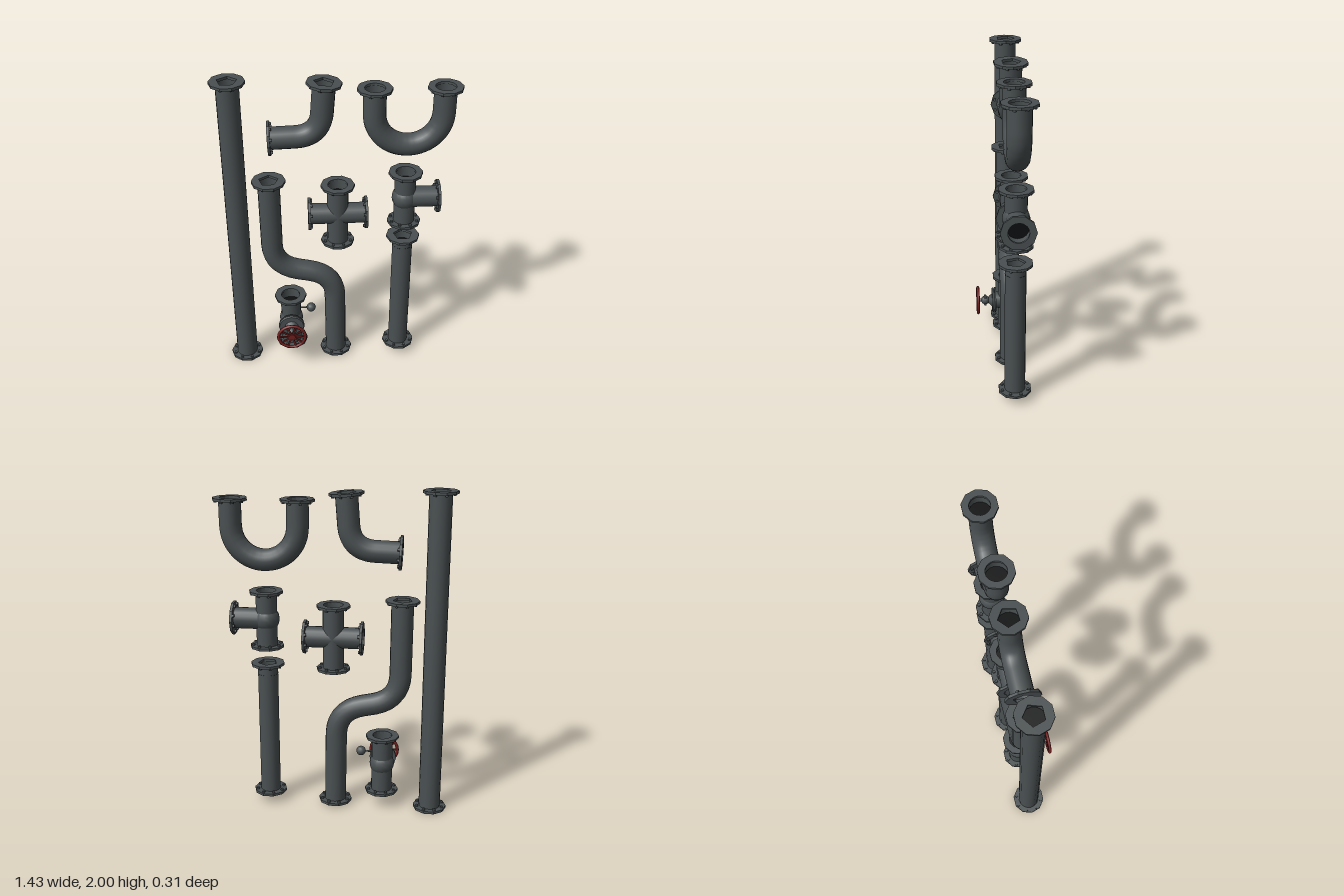
import * as THREE from 'three';

const Z = -0.053; // common depth of all pipe centre lines
const iron = new THREE.MeshStandardMaterial({ color: 0x4a5052, side: THREE.DoubleSide });
iron.name = 'dark iron';
const bore = new THREE.MeshStandardMaterial({ color: 0x0e0f10 });
bore.name = 'bore black';
const red = new THREE.MeshStandardMaterial({ color: 0x74201f });
red.name = 'wheel red';
const steel = new THREE.MeshStandardMaterial({ color: 0x6a6f70 });
steel.name = 'stem steel';

const V = (x, y, z = 0) => new THREE.Vector3(x, y, z);

function add(parent, name, geometry, material, x = 0, y = 0, z = 0) {
  const mesh = new THREE.Mesh(geometry, material);
  mesh.name = name;
  mesh.position.set(x, y, z);
  parent.add(mesh);
  return mesh;
}

function makeGroup(parent, name) {
  const g = new THREE.Group();
  g.name = name;
  g.position.z = Z;
  parent.add(g);
  return g;
}

// Cylinder whose axis runs along z
const zCylinder = (r0, r1, length, sides) =>
  new THREE.CylinderGeometry(r1, r0, length, sides).rotateX(Math.PI / 2);

function polygon(target, radius, sides, turn = 0) {
  const pts = [];
  for (let i = 0; i < sides; i++) {
    const a = turn + (i / sides) * Math.PI * 2;
    pts.push(new THREE.Vector2(Math.cos(a) * radius, Math.sin(a) * radius));
  }
  return target.setFromPoints(pts);
}

// Bolted ring; its outer face sits at pos and looks along dir
function flange(parent, pos, dir, holeSides = 16) {
  const g = new THREE.Group();
  g.name = 'flange';
  g.position.copy(pos);
  g.quaternion.setFromUnitVectors(V(0, 0, 1), dir);
  const shape = polygon(new THREE.Shape(), 0.103, 10);
  shape.holes.push(polygon(new THREE.Path(), 0.06, holeSides, 0.3));
  const ring = new THREE.ExtrudeGeometry(shape, { depth: 0.016, bevelEnabled: false });
  add(g, 'flangeRing', ring, iron, 0, 0, -0.016);
  for (let i = 0; i < 8; i++) {
    const a = ((i + 0.5) / 8) * Math.PI * 2;
    add(g, 'bolt', zCylinder(0.01, 0.01, 0.011, 6), iron, Math.cos(a) * 0.084, Math.sin(a) * 0.084, -0.0205);
  }
  add(g, 'boreShadow', new THREE.CircleGeometry(0.064, 16), bore, 0, 0, -0.07);
  parent.add(g);
}

// Pipe along a polyline whose inner corners are rounded; a flange closes each end
function pipe(parent, name, points, cut = 0.15, radius = 0.067, holeSides = 5, segments = 40) {
  const g = makeGroup(parent, name);
  const path = new THREE.CurvePath();
  let from = points[0];
  for (let i = 1; i < points.length - 1; i++) {
    const p = points[i];
    const a = p.clone().add(points[i - 1].clone().sub(p).setLength(cut));
    const b = p.clone().add(points[i + 1].clone().sub(p).setLength(cut));
    path.add(new THREE.LineCurve3(from, a));
    path.add(new THREE.QuadraticBezierCurve3(a, p, b));
    from = b;
  }
  const end = points[points.length - 1];
  path.add(new THREE.LineCurve3(from, end));
  add(g, 'pipeWall', new THREE.TubeGeometry(path, points.length > 2 ? segments : 1, radius, 16), iron);
  flange(g, points[0], points[0].clone().sub(points[1]).normalize(), holeSides);
  flange(g, end, end.clone().sub(points[points.length - 2]).normalize(), holeSides);
  return g;
}

// Open stub from a centre to a flanged end
function stub(parent, center, dir, length, radius = 0.065) {
  const wall = new THREE.CylinderGeometry(radius, radius, length, 16, 1, true);
  const mesh = add(parent, 'stub', wall, iron);
  mesh.position.copy(center).addScaledVector(dir, length / 2);
  mesh.quaternion.setFromUnitVectors(V(0, 1), dir);
  flange(parent, center.clone().addScaledVector(dir, length), dir);
}

function valve(parent) {
  const g = makeGroup(parent, 'gateValve');
  const c = V(-0.307, 0.29);
  stub(g, c, V(0, 1), 0.19);
  stub(g, c, V(0, -1), 0.19);
  add(g, 'valveBody', new THREE.SphereGeometry(0.077, 16, 10), iron, c.x, c.y, 0);

  // Bonnet, stem and hand wheel share the body axis
  const front = new THREE.Group();
  front.name = 'valveFront';
  front.position.set(c.x, c.y, -Z);
  g.add(front);
  add(front, 'bonnetNeck', zCylinder(0.055, 0.055, 0.08, 16), iron, 0, 0, -0.01);
  add(front, 'bonnetFlange', zCylinder(0.085, 0.085, 0.01, 12), iron, 0, 0, 0.032);
  add(front, 'bonnetCover', zCylinder(0.085, 0.08, 0.01, 12), iron, 0, 0, 0.047);
  add(front, 'bonnetCone', zCylinder(0.045, 0.022, 0.025, 12), iron, 0, 0, 0.064);
  add(front, 'gland', new THREE.SphereGeometry(0.029, 10, 8), iron, 0, 0, 0.098);
  add(front, 'stem', zCylinder(0.011, 0.011, 0.1, 8), steel, 0, 0, 0.1);
  for (const x of [-1, 1]) {
    add(front, 'glandNut', new THREE.CylinderGeometry(0.008, 0.008, 0.064, 6), steel, x * 0.013, 0, 0.098);
  }
  const wheel = new THREE.Group();
  wheel.name = 'handWheel';
  wheel.position.z = 0.147;
  front.add(wheel);
  add(wheel, 'wheelRim', new THREE.TorusGeometry(0.086, 0.01, 8, 24), red);
  add(wheel, 'wheelHub', zCylinder(0.024, 0.022, 0.018, 12), red);
  for (let i = 0; i < 10; i++) {
    const spoke = new THREE.BoxGeometry(0.07, 0.01, 0.008).translate(0.05, 0, 0);
    add(wheel, 'spoke', spoke, red).rotation.z = (i / 10) * Math.PI * 2;
  }

  // Small side lever with a round end
  add(g, 'leverRod', new THREE.CylinderGeometry(0.006, 0.006, 0.09, 8).rotateZ(Math.PI / 2), iron, -0.225, 0.365, 0);
  add(g, 'leverKnob', new THREE.SphereGeometry(0.03, 12, 8), iron, -0.175, 0.365, 0);
}

export function createModel() {
  const model = new THREE.Group();
  model.name = 'pipeSet';

  // Straight runs
  pipe(model, 'longPipe', [V(-0.613, 2), V(-0.613, 0)]);
  pipe(model, 'shortPipe', [V(0.407, 0.93), V(0.407, 0.055)], 0, 0.063);

  // Bent runs
  pipe(model, 'elbowPipe', [V(-0.075, 1.98), V(-0.1, 1.645), V(-0.405, 1.635)], 0.15);
  pipe(model, 'offsetPipe', [V(-0.413, 1.352), V(-0.41, 0.72), V(-0.02, 0.635), V(-0.013, 0.015)], 0.17);

  // U bend: two arms joined by a half circle
  const u = [V(0.21, 1.937)];
  for (let i = 0; i <= 12; i++) {
    const a = Math.PI + (i / 12) * Math.PI;
    u.push(V(0.41 + Math.cos(a) * 0.2, 1.77 + Math.sin(a) * 0.2));
  }
  u.push(V(0.61, 1.937));
  pipe(model, 'uBend', u, 0.02, 0.067, 16, 64);

  // Four-way and three-way junctions
  const cross = makeGroup(model, 'crossJunction');
  for (const s of [-1, 1]) {
    stub(cross, V(0, 1.105), V(0, s), 0.205);
    stub(cross, V(0, 1.105), V(s, 0), 0.181);
  }
  const tee = makeGroup(model, 'teeJunction');
  const t = V(0.407, 1.208);
  stub(tee, t, V(0, 1), 0.178);
  stub(tee, t, V(0, -1), 0.178);
  stub(tee, t, V(1, 0), 0.209);
  add(tee, 'teeBulge', new THREE.SphereGeometry(0.079, 16, 10), iron, t.x, t.y, 0);

  valve(model);
  return model;
}
